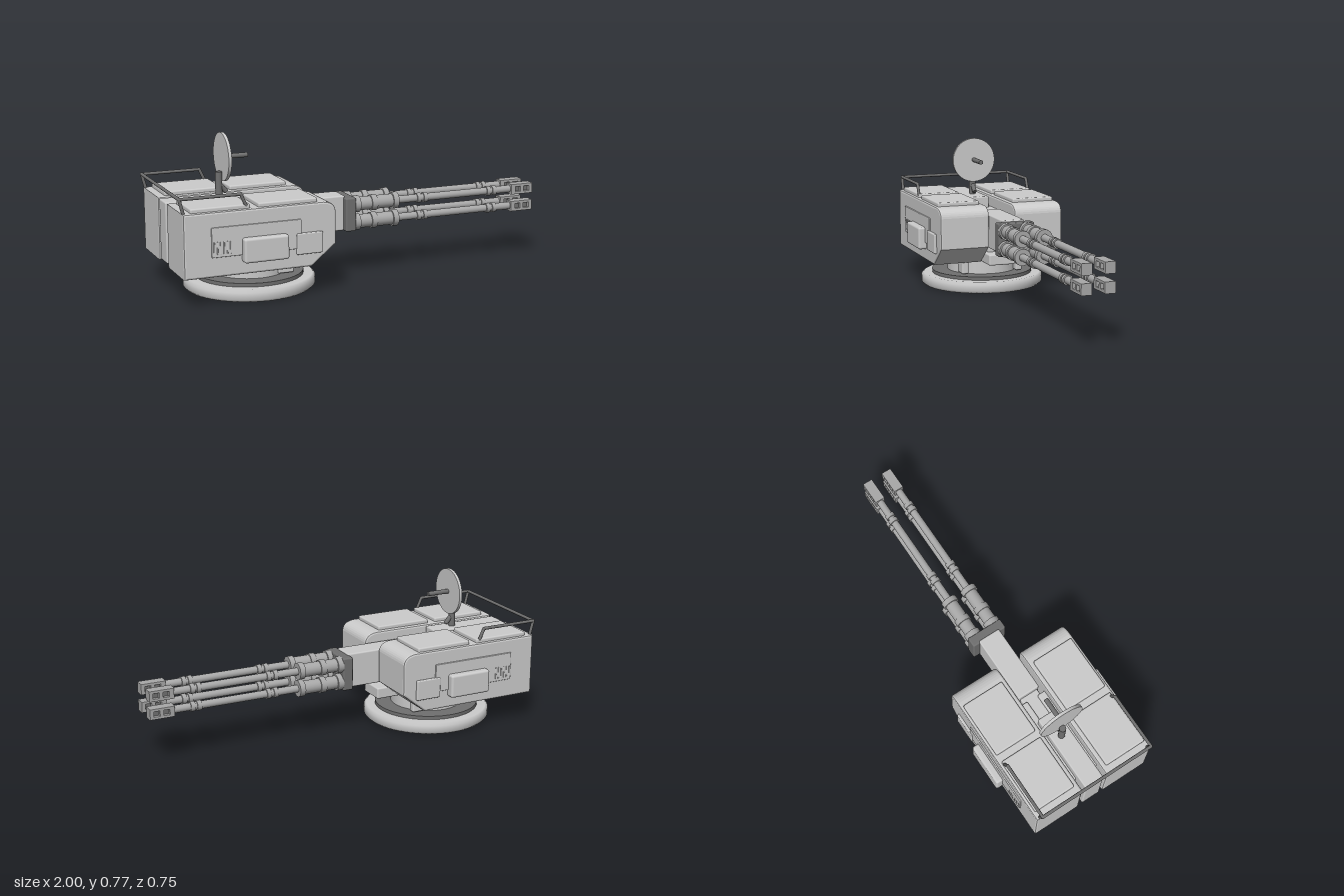
import * as THREE from 'three';
import { RoundedBoxGeometry } from 'three/addons/geometries/RoundedBoxGeometry.js';

const grey = new THREE.MeshStandardMaterial({ color: 0xcccccc });
const dark = new THREE.MeshStandardMaterial({ color: 0x707070 });
const steel = new THREE.MeshStandardMaterial({ color: 0xa8a8a8 });

function add(parent, name, geometry, material = grey) {
  const mesh = new THREE.Mesh(geometry, material);
  mesh.name = name;
  parent.add(mesh);
  return mesh;
}

// Box given by its limits on each axis, with softened edges
function box(parent, name, [x0, x1], [y0, y1], [z0, z1], r = 0.008, material = grey) {
  const geo = new RoundedBoxGeometry(x1 - x0, y1 - y0, z1 - z0, 2, r);
  const mesh = add(parent, name, geo, material);
  mesh.position.set((x0 + x1) / 2, (y0 + y1) / 2, (z0 + z1) / 2);
  return mesh;
}

// Cylinder running between two points
function rod(parent, name, a, b, radius, material = dark, sides = 12) {
  const p = new THREE.Vector3(...a), q = new THREE.Vector3(...b);
  const d = q.clone().sub(p);
  const mesh = add(parent, name, new THREE.CylinderGeometry(radius, radius, d.length(), sides), material);
  mesh.position.copy(p).add(q).multiplyScalar(0.5);
  mesh.quaternion.setFromUnitVectors(new THREE.Vector3(0, 1, 0), d.normalize());
  return mesh;
}

// Profile in the xy plane, extruded along z between z0 and z1 with a bevel
function plate(shape, z0, z1, bevel) {
  const geo = new THREE.ExtrudeGeometry(shape, {
    depth: z1 - z0 - 2 * bevel, bevelEnabled: bevel > 0, bevelSize: bevel, bevelOffset: -bevel,
    bevelThickness: bevel, bevelSegments: 2, curveSegments: 8,
  });
  return geo.translate(0, 0, z0 + bevel);
}

function buildBase() {
  const base = new THREE.Group();
  base.name = 'base';
  const points = [[0, 0], [0.312, 0], [0.325, 0.013], [0.325, 0.047], [0.312, 0.06], [0, 0.06]];
  add(base, 'baseRing', new THREE.LatheGeometry(points.map(p => new THREE.Vector2(...p)), 64));
  add(base, 'turningRing', new THREE.CylinderGeometry(0.267, 0.267, 0.019, 64), dark).position.y = 0.0685;
  add(base, 'pedestal', new THREE.CylinderGeometry(0.185, 0.185, 0.1, 48)).position.y = 0.125;
  base.position.x = -0.55;
  return base;
}

function podShape() {
  const s = new THREE.Shape();
  s.moveTo(-0.98, 0.15);
  s.lineTo(-0.35, 0.15);
  s.lineTo(-0.225, 0.25);
  s.lineTo(-0.225, 0.41);
  s.quadraticCurveTo(-0.23, 0.455, -0.29, 0.46);
  s.lineTo(-0.98, 0.46);
  s.closePath();
  return s;
}

// One armoured side body; side is +1 for the front, -1 for the back
function buildPod(side) {
  const pod = new THREE.Group();
  pod.name = side > 0 ? 'frontPod' : 'backPod';
  const span = (a, b) => (side > 0 ? [a, b] : [-b, -a]);
  add(pod, 'podBody', plate(podShape(), ...span(0.07, 0.333), 0.01));
  box(pod, 'rearHatch', [-0.94, -0.65], [0.45, 0.48], span(0.093, 0.318));
  box(pod, 'forwardHatch', [-0.61, -0.315], [0.45, 0.48], span(0.093, 0.318));
  box(pod, 'sidePanel', [-0.848, -0.404], [0.245, 0.388], span(0.32, 0.34), 0.004);
  box(pod, 'sideBox', [-0.70, -0.478], [0.21, 0.328], span(0.32, 0.375), 0.012);
  box(pod, 'smallSideBox', [-0.43, -0.297], [0.217, 0.32], span(0.32, 0.346), 0.006);
  box(pod, 'underBlock', [-0.46, -0.377], [0.083, 0.16], span(0.132, 0.168));
  for (let i = 0; i < 6; i++) {
    const x = -0.84 + i * 0.016;
    box(pod, 'ventSlat', [x, x + 0.006], [0.26, 0.32], span(0.335, 0.342), 0.002);
  }
  return pod;
}

function buildCentre() {
  const centre = new THREE.Group();
  centre.name = 'centreBody';
  box(centre, 'rearSpine', [-0.98, -0.57], [0.16, 0.46], [-0.052, 0.052]);
  box(centre, 'spineCore', [-0.6, -0.3], [0.16, 0.38], [-0.05, 0.05]);
  box(centre, 'lowerNose', [-0.6, -0.222], [0.15, 0.208], [-0.072, 0.072]);
  for (const s of [-1, 1]) {
    box(centre, 'podBridge', [-0.9, -0.45], [0.2, 0.4], s > 0 ? [0.03, 0.09] : [-0.09, -0.03]);
  }
  box(centre, 'gunCradle', [-0.42, -0.06], [0.235, 0.413], [-0.06, 0.06]);
  box(centre, 'gunMountPlate', [-0.07, -0.015], [0.235, 0.405], [-0.096, 0.096], 0.008, dark);
  return centre;
}

// One barrel along +x, centred on its own axis
function buildBarrel() {
  const barrel = new THREE.Group();
  barrel.name = 'gunBarrel';
  const part = (name, x0, x1, r, material = steel) =>
    rod(barrel, name, [x0, 0, 0], [x1, 0, 0], r, material, 24);
  part('tube', -0.03, 0.9, 0.019);
  part('sleeve', -0.02, 0.21, 0.034);
  part('rearCollar', -0.018, 0.012, 0.042);
  part('middleCollar', 0.075, 0.105, 0.04);
  part('forwardCollar', 0.193, 0.222, 0.042);
  for (const x of [0.333, 0.37, 0.735, 0.768]) part('smallRing', x, x + 0.022, 0.025);

  // Vented muzzle
  const s = new THREE.Shape();
  const rect = (path, x0, x1, h) => {
    path.moveTo(x0, -h); path.lineTo(x1, -h); path.lineTo(x1, h); path.lineTo(x0, h); path.closePath();
    return path;
  };
  rect(s, 0.875, 1, 0.027);
  for (const x of [0.9, 0.95]) s.holes.push(rect(new THREE.Path(), x, x + 0.03, 0.013));
  add(barrel, 'muzzle', plate(s, -0.027, 0.027, 0.003), steel);
  add(barrel, 'muzzleCore', new THREE.BoxGeometry(0.11, 0.03, 0.02), dark).position.x = 0.938;
  return barrel;
}

function buildRail() {
  const rail = new THREE.Group();
  rail.name = 'guardRail';
  const r = 0.008;
  for (const z of [-0.312, 0.312]) {
    const path = [[-0.973, 0.46, z], [-0.991, 0.529, z], [-0.695, 0.529, z], [-0.668, 0.47, z]];
    for (let i = 0; i < 3; i++) rod(rail, 'sideRail', path[i], path[i + 1], r);
    for (const p of path.slice(1, 3)) add(rail, 'railJoint', new THREE.SphereGeometry(r, 12, 8), dark).position.set(...p);
  }
  rod(rail, 'rearRail', [-0.991, 0.529, -0.312], [-0.991, 0.529, 0.312], r);
  return rail;
}

function buildRadar() {
  const radar = new THREE.Group();
  radar.name = 'radar';
  rod(radar, 'mast', [-0.697, 0.45, 0], [-0.697, 0.577, 0], 0.017, dark, 20);
  rod(radar, 'mastBrace', [-0.697, 0.52, 0], [-0.66, 0.475, 0], 0.012);
  rod(radar, 'dish', [-0.683, 0.648, 0], [-0.668, 0.648, 0], 0.118, grey, 48);
  rod(radar, 'dishFeed', [-0.67, 0.648, 0], [-0.55, 0.648, 0], 0.012, dark, 16);
  return radar;
}

export function createModel() {
  const model = new THREE.Group();
  model.name = 'gunTurret';
  model.add(buildBase(), buildPod(1), buildPod(-1), buildCentre(), buildRail(), buildRadar());
  for (const y of [0.275, 0.365]) {
    for (const z of [-0.057, 0.057]) {
      const barrel = buildBarrel();
      barrel.position.set(0, y, z);
      model.add(barrel);
    }
  }
  return model;
}
